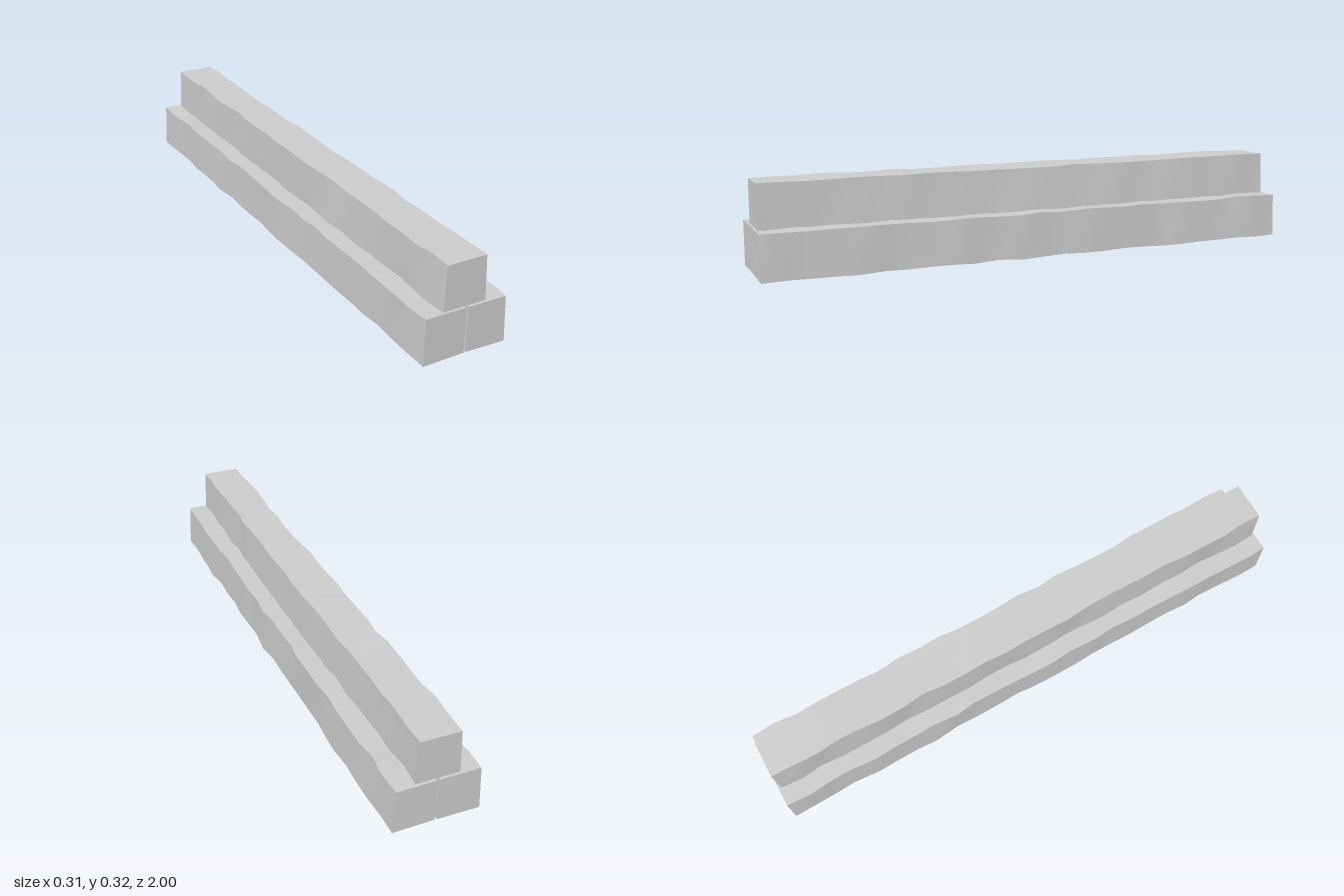
import * as THREE from 'three';

const SEGMENTS = 24;

// Seeded jitter in the range -1..1
function makeJitter(seed) {
  let s = seed;
  return () => {
    s = (s * 16807) % 2147483647;
    return (s / 2147483647) * 2 - 1;
  };
}

// Cross-sections of a rough-hewn beam: four corners, counter-clockwise from the front
function beamSections(corners, halfLength, seed) {
  const jitter = makeJitter(seed);
  const rings = [];
  for (let i = 0; i <= SEGMENTS; i++) {
    const end = i === 0 || i === SEGMENTS;
    const amount = end ? 0.3 : 1;
    const z = -halfLength + (2 * halfLength * i) / SEGMENTS;
    rings.push(corners.map(([x, y]) => new THREE.Vector3(
      x + jitter() * 0.006 * amount,
      y + jitter() * 0.003 * amount,
      z + (end ? 0 : jitter() * 0.012))));
  }
  return rings;
}

// One long side as a smooth strip from ring 'from' to ring 'to'
function strip(rings, a, b, from, to, inset = 0) {
  const pos = [], index = [];
  for (let i = from; i <= to; i++) {
    const shift = i === from ? inset : i === to ? -inset : 0;
    for (const k of [a, b]) {
      const p = rings[i][k];
      pos.push(p.x, p.y, p.z + shift);
    }
  }
  for (let i = 0; i < to - from; i++) {
    const n = i * 2;
    index.push(n, n + 1, n + 3, n, n + 3, n + 2);
  }
  return toGeometry(pos, index);
}

function toGeometry(pos, index) {
  const geo = new THREE.BufferGeometry();
  geo.setAttribute('position', new THREE.Float32BufferAttribute(pos, 3));
  geo.setIndex(index);
  geo.computeVertexNormals();
  return geo;
}

// End face; the front one faces +z
function cap(ring, front) {
  const pos = ring.flatMap((p) => [p.x, p.y, p.z]);
  return toGeometry(pos, front ? [0, 1, 2, 0, 2, 3] : [0, 2, 1, 0, 3, 2]);
}

function makeBeam(name, corners, halfLength, seed, material, slitted) {
  const beam = new THREE.Group();
  beam.name = name;
  const add = (part, geo) => {
    const mesh = new THREE.Mesh(geo, material);
    mesh.name = part;
    beam.add(mesh);
  };
  const rings = beamSections(corners, halfLength, seed);
  // Corner order: bottom left, bottom right, top right, top left
  add('rightHandSide', strip(rings, 2, 1, 0, SEGMENTS));
  add('topSide', strip(rings, 3, 2, 0, SEGMENTS));
  add('leftHandSide', strip(rings, 0, 3, 0, SEGMENTS));
  add('backEnd', cap(rings[0], false));
  add('frontEnd', cap(rings[SEGMENTS], true));

  // Underside: separate panels with narrow slits between them
  const step = slitted ? 2 : SEGMENTS;
  for (let i = 0; i < SEGMENTS; i += step) {
    add('undersidePanel', strip(rings, 1, 0, i, i + step, slitted ? 0.004 : 0));
  }
  return beam;
}

export function createModel() {
  const model = new THREE.Group();
  model.name = 'stackedBeams';
  const material = new THREE.MeshStandardMaterial({ color: 0xcccccc, side: THREE.DoubleSide });

  // Two beams side by side on the ground
  model.add(makeBeam('lowerBeamRight',
    [[-0.149, 0.003], [-0.002, 0.006], [-0.003, 0.162], [-0.144, 0.162]], 1, 11, material, true));
  model.add(makeBeam('lowerBeamLeft',
    [[0.007, 0.006], [0.149, 0.003], [0.143, 0.162], [0.005, 0.162]], 1, 4057, material, true));

  // One beam resting on the joint
  model.add(makeBeam('upperBeam',
    [[-0.078, 0.157], [0.073, 0.157], [0.067, 0.317], [-0.073, 0.317]], 0.99, 90211, material, false));
  return model;
}
